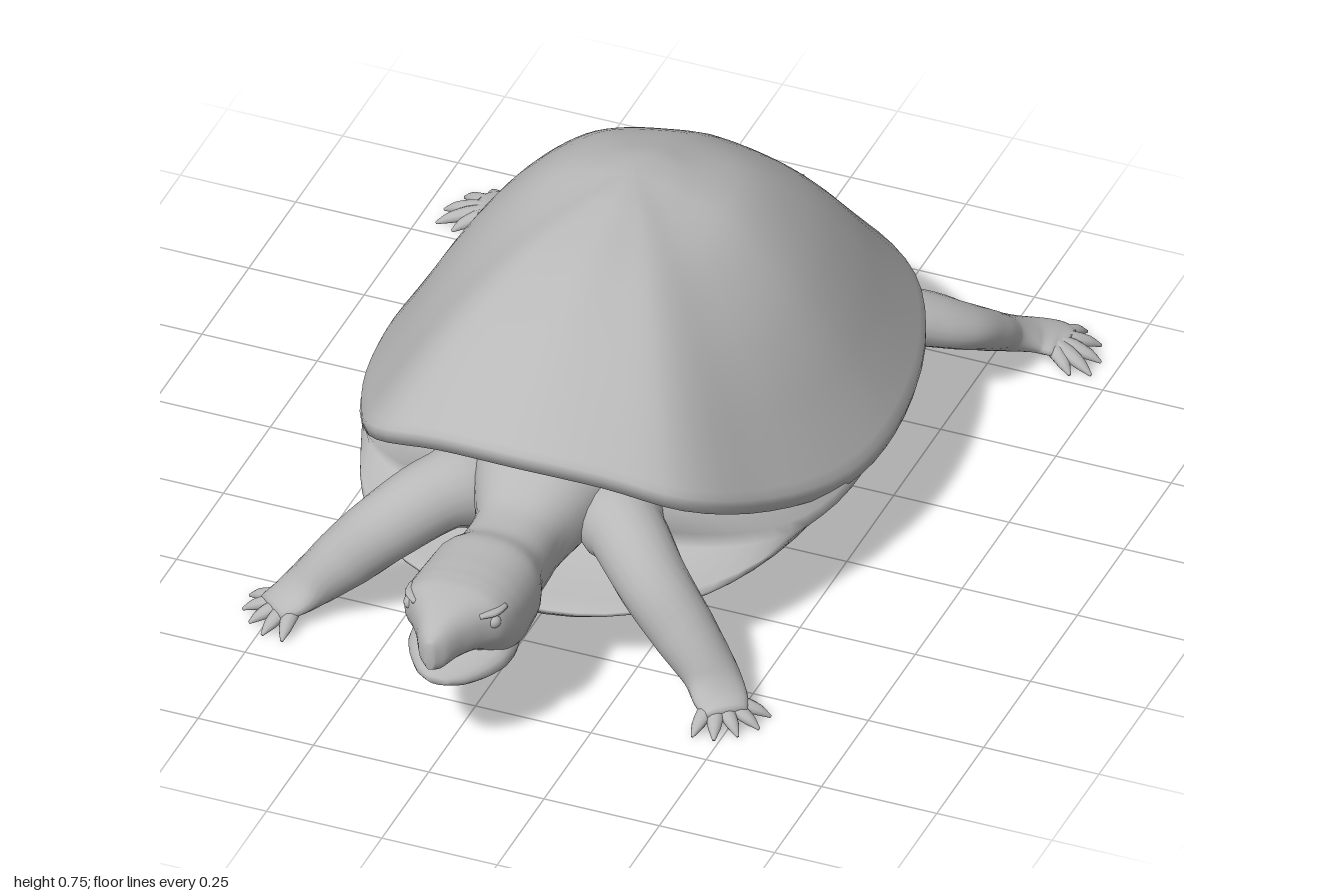
import * as THREE from 'three';

const grey = new THREE.MeshStandardMaterial({ color: 0xb8b8b8 });
grey.name = 'stone grey';

// Skins a list of closed rings (counter-clockwise about the direction of travel).
function skin(name, rings) {
  const n = rings[0].length, pos = [], index = [];
  rings.forEach(r => r.forEach(p => pos.push(p.x, p.y, p.z)));
  for (let i = 0; i < rings.length - 1; i++) {
    for (let j = 0; j < n; j++) {
      const k = (j + 1) % n, a = i * n, b = a + n;
      index.push(a + j, a + k, b + j, a + k, b + k, b + j);
    }
  }
  const g = new THREE.BufferGeometry();
  g.setAttribute('position', new THREE.Float32BufferAttribute(pos, 3));
  g.setIndex(index);
  g.computeVertexNormals();
  const mesh = new THREE.Mesh(g, grey);
  mesh.name = name;
  return mesh;
}

const power = (v, e) => Math.sign(v) * Math.abs(v) ** e;

// Limb along stations [x, y, z, halfWidth, halfHeight]; e below 1 squares the section,
// axis fixes the direction the sections face.
function limb(name, stations, { steps = 5, sides = 20, e = 1, axis = null } = {}) {
  const path = new THREE.CatmullRomCurve3(stations.map(s => new THREE.Vector3(s[0], s[1], s[2])));
  const size = new THREE.CatmullRomCurve3(stations.map(s => new THREE.Vector3(s[3], s[4], 0)));
  const count = (stations.length - 1) * steps, rings = [];
  for (let i = -1; i <= count + 1; i++) {
    const t = Math.min(Math.max(i / count, 0), 1);
    const c = path.getPoint(t), r = size.getPoint(t), T = axis || path.getTangent(t);
    if (i < 0 || i > count) r.set(0, 0, 0);
    const S = new THREE.Vector3(0, 1, 0).cross(T).normalize();
    const U = T.clone().cross(S);
    rings.push(Array.from({ length: sides }, (_, j) => {
      const a = j / sides * Math.PI * 2;
      return c.clone().addScaledVector(S, r.x * power(Math.cos(a), e)).addScaledVector(U, r.y * power(Math.sin(a), e));
    }));
  }
  return skin(name, rings);
}

function carapace() {
  // Half of the rim, front to back, mirrored into a closed curve
  const half = [[0, .49, .54], [.18, .472, .515], [.335, .425, .465], [.445, .325, .265], [.52, .26, .03],
    [.535, .25, -.185], [.487, .253, -.45], [.39, .278, -.635], [.23, .297, -.745], [0, .31, -.79]];
  const other = half.slice(1, -1).reverse().map(([x, y, z]) => [-x, y, z]);
  const curve = new THREE.CatmullRomCurve3([...half, ...other].map(p => new THREE.Vector3(...p)), true);
  const N = 72;
  const rim = Array.from({ length: N }, (_, j) => curve.getPoint(j / N));
  const at = (p, t, y) => new THREE.Vector3(p.x * t, y, -.1 + (p.z + .1) * t);
  // Hollow underside and lip
  const rings = [[0, .4, 0], [.5, .16, .6], [.8, .02, 1], [.9, -.03, 1], [.96, -.042, 1], [.99, -.036, 1], [1, -.015, 1]]
    .map(([t, y, f]) => rim.map(p => at(p, t, y + p.y * f)));
  // Dome, fuller at the sides and rear flanks, with a low keel along the back
  const dome = new THREE.SplineCurve([[1, 0], [.88, .2], [.75, .415], [.6, .62], [.4, .825], [.2, .95], [.1, .988], [0, 1]]
    .map(p => new THREE.Vector2(...p)));
  for (let i = 0; i <= 28; i++) {
    const { x: t, y: f } = dome.getPoint(i / 28);
    rings.push(rim.map(p => {
      const v = at(p, t, p.y + (.76 - p.y) * f);
      const a = Math.atan2(p.x, p.z + .1);
      const flank = Math.sin(t * Math.PI) ** 2 * Math.sin(a) ** 2 * (.024 - .03 * Math.cos(a));
      v.y += flank + .007 * Math.exp(-((v.x / .05) ** 2)) * (1 - t * t);
      return v;
    }));
  }
  return skin('carapace', rings);
}

function body() {
  // Rings [halfWidth, front z, back z, y at the sides, y at the ends, squareness]
  const levels = [
    [0, -.07, -.07, .103, .103, 1], [.24, .42, -.54, .104, .106, .95], [.33, .51, -.64, .12, .113, .88],
    [.43, .555, -.705, .155, .127, .83], [.485, .572, -.73, .182, .143, .82], [.492, .575, -.733, .194, .153, .82],
    [.495, .53, -.68, .2, .165, .78], [.518, .35, -.52, .207, .2, .66], [.518, .37, -.53, .235, .25, .66],
    [.42, .41, -.55, .34, .37, .8], [0, -.07, -.07, .42, .42, 1]];
  return skin('bodyAndPlastron', levels.map(([w, f, b, ySide, yEnd, e]) => Array.from({ length: 56 }, (_, j) => {
    const a = j / 56 * Math.PI * 2, c = Math.cos(a);
    return new THREE.Vector3(w * power(Math.sin(a), e), ySide + (yEnd - ySide) * c * c,
      (f + b) / 2 + (f - b) / 2 * power(c, e));
  })));
}

// Leg with five clawed toes fanning out from the foot
function leg(name, side, stations, base, tips) {
  const group = new THREE.Group();
  group.name = name;
  const flip = ([x, ...rest]) => [x * side, ...rest];
  group.add(limb('limb', stations.map(flip)));
  tips.forEach(([x, z]) => {
    const mix = (t, y, r, h) => flip([base[0] + (x - base[0]) * t, y, base[1] + (z - base[1]) * t, r, h]);
    group.add(limb('toe', [mix(0, .045, .02, .016), mix(.5, .038, .018, .014), mix(.78, .028, .013, .011),
      mix(1, .015, .003, .003)], { steps: 3, sides: 10 }));
  });
  return group;
}

function head() {
  const group = new THREE.Group();
  group.name = 'headAndNeck';
  const axis = new THREE.Vector3(0, 0, 1);
  group.add(limb('neckAndSkull', [
    [0, .34, .32, .18, .11], [0, .315, .44, .13, .11], [0, .276, .54, .093, .094], [0, .271, .62, .095, .092],
    [0, .275, .69, .117, .108], [0, .276, .77, .122, .109], [0, .288, .825, .12, .098], [0, .308, .865, .108, .076],
    [0, .312, .9, .08, .064], [0, .308, .94, .052, .055], [0, .298, .978, .031, .046], [0, .292, .998, .01, .03]],
  { e: .85, sides: 28, axis }));
  group.add(limb('lowerJaw', [[0, .235, .72, .08, .05], [0, .217, .79, .11, .049], [0, .211, .84, .108, .041],
    [0, .206, .885, .088, .031], [0, .205, .93, .055, .02], [0, .209, .958, .022, .009]], { e: .88, axis }));
  for (const s of [1, -1]) {
    const eye = new THREE.Mesh(new THREE.SphereGeometry(.015, 16, 12), grey);
    eye.name = 'eye';
    eye.position.set(s * .09, .325, .874);
    const brow = limb('brow', [[s * .1, .344, .84, .008, .006], [s * .091, .346, .872, .012, .007],
      [s * .07, .346, .9, .006, .005]], { sides: 10 });
    group.add(eye, brow);
  }
  return group;
}

export function createModel() {
  const model = new THREE.Group();
  model.name = 'turtle';
  model.add(carapace(), body(), head());
  for (const s of [1, -1]) {
    const label = s > 0 ? 'left' : 'right';
    model.add(leg(label + 'FrontLeg', s, [
      [.11, .28, .33, .08, .08], [.2, .28, .43, .08, .08], [.285, .225, .5, .073, .074], [.365, .145, .53, .066, .066],
      [.43, .08, .555, .058, .05], [.47, .05, .595, .056, .024], [.495, .042, .625, .042, .015]],
    [.455, .585], [[.565, .565], [.56, .615], [.53, .655], [.49, .685], [.445, .69]]));
    model.add(leg(label + 'HindLeg', s, [
      [.25, .23, -.46, .08, .06], [.4, .21, -.58, .07, .055], [.485, .17, -.645, .06, .046], [.515, .125, -.71, .052, .042],
      [.53, .08, -.775, .05, .036], [.57, .052, -.825, .054, .026], [.61, .043, -.842, .058, .019], [.64, .038, -.845, .042, .014]],
    [.59, -.835], [[.645, -.925], [.69, -.89], [.712, -.835], [.71, -.785], [.67, -.77]]));
  }
  model.add(limb('tail', [[0, .24, -.46, .13, .07], [0, .225, -.62, .085, .05], [0, .2, -.76, .058, .036],
    [0, .187, -.85, .03, .02], [0, .18, -.92, .014, .01], [0, .182, -.998, .002, .002]]));
  return model;
}
